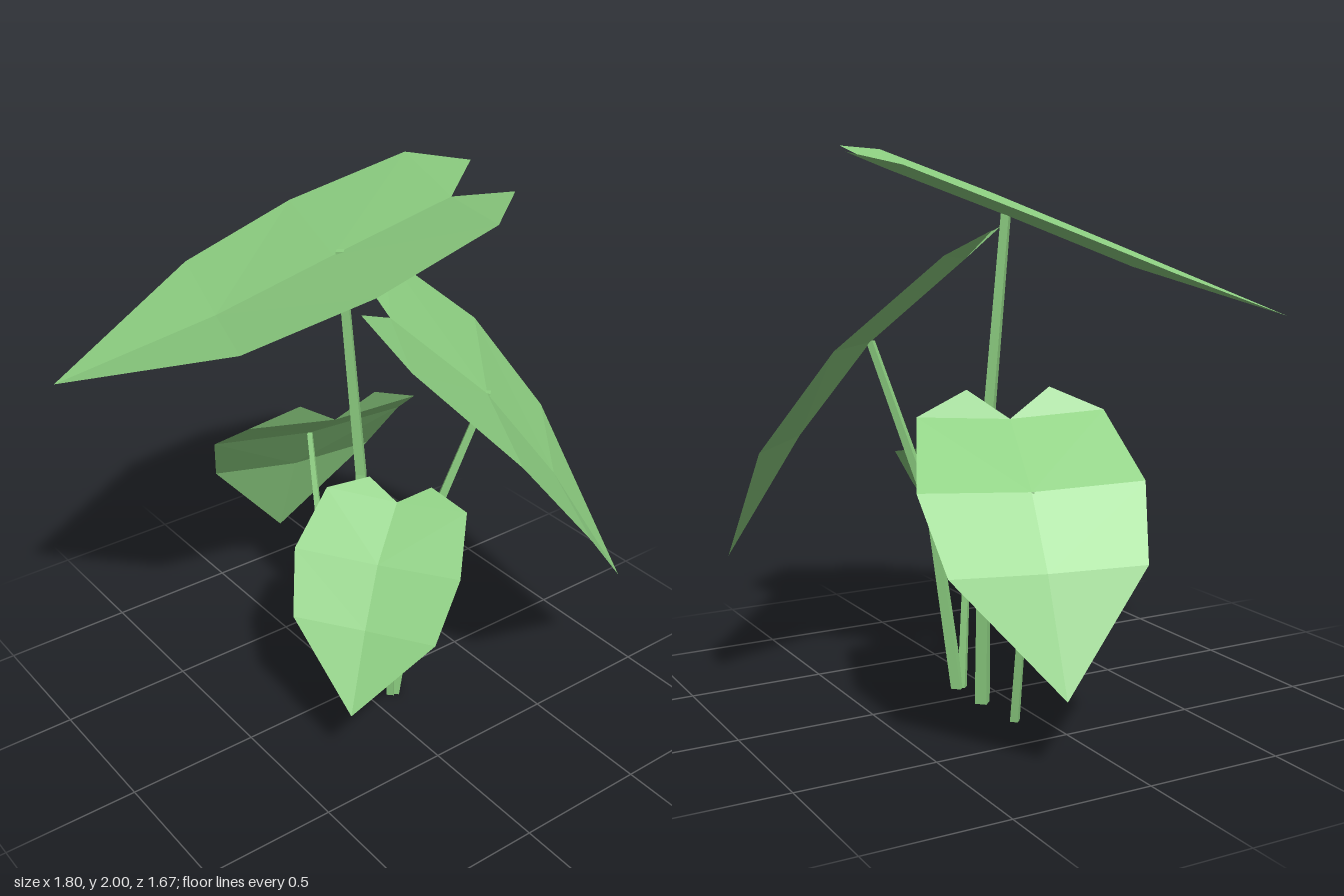
import * as THREE from 'three';

const leafGreen = new THREE.MeshStandardMaterial({ color: 0x8ed082, side: THREE.DoubleSide });
leafGreen.name = 'leafGreen';

const vec = (p) => new THREE.Vector3(...p);

// Share of the half width at each row: lobe tops, notch, middle, lower, tip
const WIDTHS = [0.38, 0.855, 1, 0.855, 0];
const FOLD = 0.075;

// Each plant part: spine rows from lobes to tip, half-width vector, stem path and radii
const PLANTS = [
  {
    name: 'top',
    spine: [[0.58, 1.98, 0.005], [0.435, 1.955, -0.06], [0.025, 1.79, -0.2], [-0.375, 1.62, -0.34], [-0.9, 1.4, -0.52]],
    side: [0.205, -0.04, -0.54],
    stem: [[0.1, 0, -0.08], [0.125, 0.87, -0.145], [0.06, 1.765, -0.18]],
    radii: [0.031, 0.02],
  },
  {
    name: 'front',
    spine: [[-0.015, 1.71, 0.015], [0.1, 1.635, 0.095], [0.395, 1.33, 0.285], [0.63, 0.98, 0.415], [0.83, 0.5, 0.55]],
    side: [-0.315, 0, 0.485],
    stem: [[0.105, 0, 0.105], [0.185, 0.67, 0.145], [0.37, 1.305, 0.265]],
    radii: [0.027, 0.018],
  },
  {
    name: 'back',
    spine: [[0.07, 1.17, -0.215], [0.085, 1.09, -0.265], [0.16, 0.89, -0.54], [0.2, 0.65, -0.715], [0.21, 0.26, -0.84]],
    side: [0.38, 0, 0.09],
    stem: [[0.09, 0, -0.3], [0.1, 0.45, -0.375], [0.15, 0.868, -0.515]],
    radii: [0.02, 0.013],
  },
  {
    name: 'small',
    spine: [[0.155, 0.915, 0.056], [0.1, 0.88, 0.1], [-0.065, 0.72, 0.2], [-0.19, 0.53, 0.29], [-0.31, 0.26, 0.38]],
    side: [-0.175, 0, -0.26],
    stem: [[0.085, 0, 0.105], [0.055, 0.37, 0.13], [-0.05, 0.695, 0.185]],
    radii: [0.02, 0.013],
  },
];

// Heart-shaped leaf: rows of left edge, sunken rib and right edge
function leafGeometry(spine, side) {
  const s = vec(side);
  const mids = spine.map(vec);
  const rows = mids.map((mid, i) => {
    const along = mids[Math.min(i + 1, 4)].clone().sub(mids[Math.max(i - 1, 0)]);
    const normal = s.clone().cross(along).normalize();
    const depth = i === 4 ? 0 : FOLD * s.length();
    return {
      left: mid.clone().addScaledVector(s, -WIDTHS[i]),
      rib: mid.clone().addScaledVector(normal, -depth),
      right: mid.clone().addScaledVector(s, WIDTHS[i]),
    };
  });

  const points = [];
  const tri = (a, b, c) => points.push(a, b, c);
  // Two lobes either side of the notch
  const [lobe, notch] = rows;
  tri(notch.rib, lobe.right, notch.right);
  tri(notch.rib, notch.left, lobe.left);
  // Blade halves, narrowing to the tip
  for (let i = 1; i < 4; i++) {
    const a = rows[i], b = rows[i + 1];
    tri(a.rib, a.right, b.rib);
    tri(a.left, a.rib, b.rib);
    if (i < 3) {
      tri(a.right, b.right, b.rib);
      tri(a.left, b.rib, b.left);
    }
  }
  const geometry = new THREE.BufferGeometry().setFromPoints(points);
  geometry.computeVertexNormals();
  return geometry;
}

// Tapered four-sided stem with one bend
function stemGeometry(path, [bottom, top]) {
  const geometry = new THREE.CylinderGeometry(top, bottom, 2, 4, 2).toNonIndexed();
  const pos = geometry.attributes.position;
  for (let i = 0; i < pos.count; i++) {
    const [x, y, z] = path[Math.round(pos.getY(i) + 1)];
    pos.setXYZ(i, pos.getX(i) + x, y, pos.getZ(i) + z);
  }
  geometry.computeVertexNormals();
  return geometry;
}

export function createModel() {
  const plant = new THREE.Group();
  plant.name = 'leafyPlant';
  for (const { name, spine, side, stem, radii } of PLANTS) {
    const leafMesh = new THREE.Mesh(leafGeometry(spine, side), leafGreen);
    leafMesh.name = `${name}Leaf`;
    const stemMesh = new THREE.Mesh(stemGeometry(stem, radii), leafGreen);
    stemMesh.name = `${name}Stem`;
    plant.add(leafMesh, stemMesh);
  }
  return plant;
}
